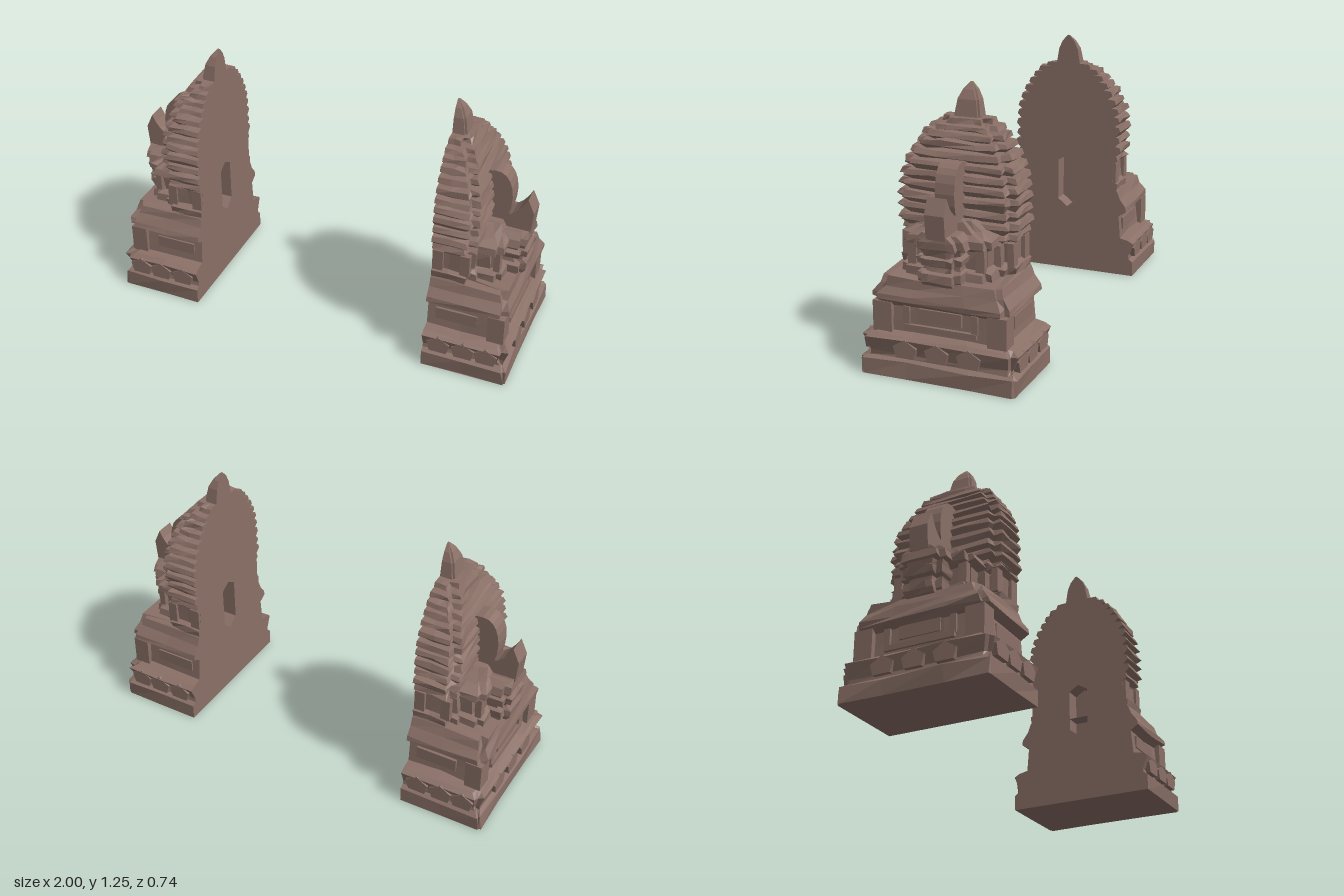
import * as THREE from 'three';

const INNER = 0.59; // distance from the centre to the flat cut face
const stone = new THREE.MeshStandardMaterial({ color: 0x8a7067 });
stone.name = 'brownStone';
stone.flatShading = true;

// Small repeatable noise for the weathered edges
function noise(seed) {
  let s = seed;
  return () => {
    s = (s * 16807) % 2147483647;
    return s / 2147483647 - 0.5;
  };
}

// Half plan with redented corners, open on the cut side (x = 0)
function section([, x, z, n = 0.03]) {
  const k = Math.min(n, x * 0.4, z * 0.4);
  const half = [[0, z], [(x - k) / 2, z], [x - k, z], [x - k, z - k], [x, z - k], [x, z * 0.4]];
  return half.concat(half.slice().reverse().map(([a, b]) => [a, -b]));
}

// Stack of sections; each row is [y, depth, half width, corner step]
function loft(rows, seed, rough = 0.012) {
  const rnd = noise(seed), pos = [], idx = [], m = 12;
  rows.forEach((row, r) => {
    section(row).forEach(([x, z], i) => {
      const cut = i === 0 || i === m - 1;
      const j = cut || row[1] < 0.08 ? 0 : rough;
      pos.push(x + rnd() * j, row[0] + (r ? rnd() * j : 0), z + rnd() * j);
    });
    if (!r) return;
    for (let i = 0; i < m - 1; i++) {
      const a = (r - 1) * m + i, b = a + m;
      idx.push(a, a + 1, b + 1, a, b + 1, b);
    }
  });
  const top = (rows.length - 1) * m;
  for (let i = 1; i < m - 1; i++) idx.push(top, top + i, top + i + 1, 0, i + 1, i);
  const g = new THREE.BufferGeometry();
  g.setAttribute('position', new THREE.Float32BufferAttribute(pos, 3));
  g.setIndex(idx);
  g.computeVertexNormals();
  return g;
}

const points = list => list.map(([a, b]) => new THREE.Vector2(a, b));

function add(parent, name, geometry, x = 0, y = 0, z = 0) {
  const mesh = new THREE.Mesh(geometry, stone);
  mesh.name = name;
  mesh.position.set(x, y, z);
  parent.add(mesh);
  return mesh;
}

function box(parent, name, w, h, d, x, y, z) {
  return add(parent, name, new THREE.BoxGeometry(w, h, d), x, y, z);
}

function buildHalf(seed) {
  const half = new THREE.Group();

  // Plinth, petal course and body
  const rows = [
    [0, 0.41, 0.365, 0.01], [0.075, 0.405, 0.365, 0.01], [0.09, 0.39, 0.345, 0.02],
    [0.11, 0.385, 0.342, 0.02], [0.175, 0.408, 0.368, 0.03], [0.19, 0.385, 0.34],
    [0.2, 0.355, 0.295], [0.32, 0.35, 0.285], [0.345, 0.385, 0.325], [0.37, 0.385, 0.32],
    [0.41, 0.37, 0.29], [0.45, 0.362, 0.275], [0.456, 0.205, 0.27, 0.04],
    [0.49, 0.205, 0.275, 0.04], [0.5, 0.19, 0.25, 0.04], [0.59, 0.19, 0.25, 0.04],
  ];
  // Receding roof tiers: top height, depth, half width
  const tiers = [
    [0.635, 0.2, 0.275], [0.685, 0.21, 0.29], [0.735, 0.21, 0.283], [0.79, 0.215, 0.285],
    [0.84, 0.21, 0.28], [0.885, 0.205, 0.275], [0.93, 0.195, 0.26], [0.975, 0.18, 0.24],
    [1.015, 0.165, 0.215], [1.05, 0.15, 0.19], [1.08, 0.13, 0.162], [1.105, 0.1, 0.12],
  ];
  let y = 0.59;
  for (const [top, x, z] of tiers) {
    rows.push([y + 0.004, x - 0.025, z - 0.025, 0.04], [top - 0.022, x, z, 0.04], [top, x - 0.008, z - 0.008, 0.04]);
    y = top;
  }
  // Finial
  rows.push([1.107, 0.068, 0.062, 0.01], [1.18, 0.055, 0.05, 0.01], [1.22, 0.035, 0.032, 0.01], [1.25, 0.008, 0.005, 0]);
  add(half, 'tower', loft(rows, seed));

  // Flat cut face with a pointed niche
  const outline = rows.map(r => [r[2], r[0]]);
  const face = new THREE.Shape(points(outline.concat(rows.map(r => [-r[2], r[0]]).reverse())));
  const niche = points([[-0.05, 0.38], [0, 0.34], [0.05, 0.38], [0.05, 0.59], [0, 0.62], [-0.05, 0.59]]);
  face.holes.push(new THREE.Path(niche));
  add(half, 'cutFace', new THREE.ShapeGeometry(face).rotateY(-Math.PI / 2));
  const hollow = new THREE.ExtrudeGeometry(new THREE.Shape(niche), { depth: 0.08, bevelEnabled: false });
  add(half, 'niche', hollow.scale(1, 1, -1).rotateY(-Math.PI / 2));

  // Stepped side wing and the porch in front of it
  add(half, 'wing', loft([
    [0.44, 0.31, 0.21], [0.49, 0.31, 0.21], [0.5, 0.28, 0.18], [0.58, 0.28, 0.18],
    [0.6, 0.31, 0.21], [0.635, 0.31, 0.205], [0.66, 0.28, 0.15], [0.7, 0.26, 0.1],
  ], seed + 7));
  add(half, 'porch', loft([
    [0.44, 0.375, 0.1], [0.46, 0.392, 0.1], [0.495, 0.392, 0.1], [0.503, 0.365, 0.085],
    [0.525, 0.365, 0.085], [0.532, 0.39, 0.1], [0.565, 0.395, 0.105], [0.572, 0.375, 0.09],
    [0.6, 0.38, 0.095], [0.605, 0.39, 0.12], [0.64, 0.39, 0.11], [0.665, 0.385, 0.08],
  ], seed + 13, 0.008));

  // Upright crest and curved horn above the porch
  const crest = new THREE.Shape();
  crest.moveTo(0.14, 0.64);
  crest.lineTo(0.26, 0.66);
  crest.quadraticCurveTo(0.31, 0.78, 0.29, 0.87);
  crest.quadraticCurveTo(0.27, 0.95, 0.21, 0.948);
  crest.lineTo(0.15, 0.94);
  const horn = new THREE.Shape();
  horn.moveTo(0.24, 0.65);
  horn.lineTo(0.39, 0.65);
  horn.lineTo(0.4, 0.76);
  horn.lineTo(0.368, 0.83);
  horn.quadraticCurveTo(0.335, 0.75, 0.27, 0.725);
  for (const [name, shape] of [['crest', crest], ['horn', horn]]) {
    const g = new THREE.ExtrudeGeometry(shape, { depth: 0.09, bevelEnabled: false, curveSegments: 4 });
    add(half, name, g, 0, 0, -0.045);
  }

  // Petals around the base
  const petalShape = new THREE.Shape(points([[-0.042, -0.04], [0.042, -0.04], [0.056, 0.01], [0, 0.045], [-0.056, 0.01]]));
  const petal = new THREE.ExtrudeGeometry(petalShape, { depth: 0.035, bevelEnabled: false });
  for (const z of [-0.15, 0, 0.15]) add(half, 'petal', petal, 0.372, 0.138, z).rotation.set(0, Math.PI / 2, 0);
  for (const s of [1, -1]) {
    for (const x of [0.08, 0.2, 0.31]) {
      add(half, 'petal', petal, x, 0.138, s * 0.332).rotation.y = s > 0 ? 0 : Math.PI;
    }
    // Corner posts of the body and framing of the front and back walls
    box(half, 'bodyPost', 0.08, 0.14, 0.09, 0.335, 0.265, s * 0.27);
    box(half, 'bodyPanel', 0.2, 0.06, 0.02, 0.14, 0.27, s * 0.287);
    box(half, 'wallPier', 0.05, 0.11, 0.03, 0.026, 0.545, s * 0.25);
    box(half, 'wallPier', 0.045, 0.11, 0.03, 0.155, 0.545, s * 0.25);
    box(half, 'sidePanelEnd', 0.03, 0.085, 0.03, 0.347, 0.28, s * 0.16);
    box(half, 'wingPier', 0.03, 0.1, 0.04, 0.28, 0.545, s * 0.16);
  }
  // Framed panel on the outer wall
  box(half, 'sidePanel', 0.02, 0.06, 0.2, 0.352, 0.29, 0);
  box(half, 'sidePanelSill', 0.03, 0.025, 0.34, 0.352, 0.23, 0);
  return half;
}

export function createModel() {
  const model = new THREE.Group();
  model.name = 'splitGate';
  [['leftHalf', 11, 0], ['rightHalf', 29, Math.PI]].forEach(([name, seed, turn]) => {
    const side = new THREE.Group();
    side.name = name;
    const half = buildHalf(seed);
    half.name = 'gateHalf';
    half.position.x = INNER;
    side.add(half);
    side.rotation.y = turn;
    model.add(side);
  });
  return model;
}
